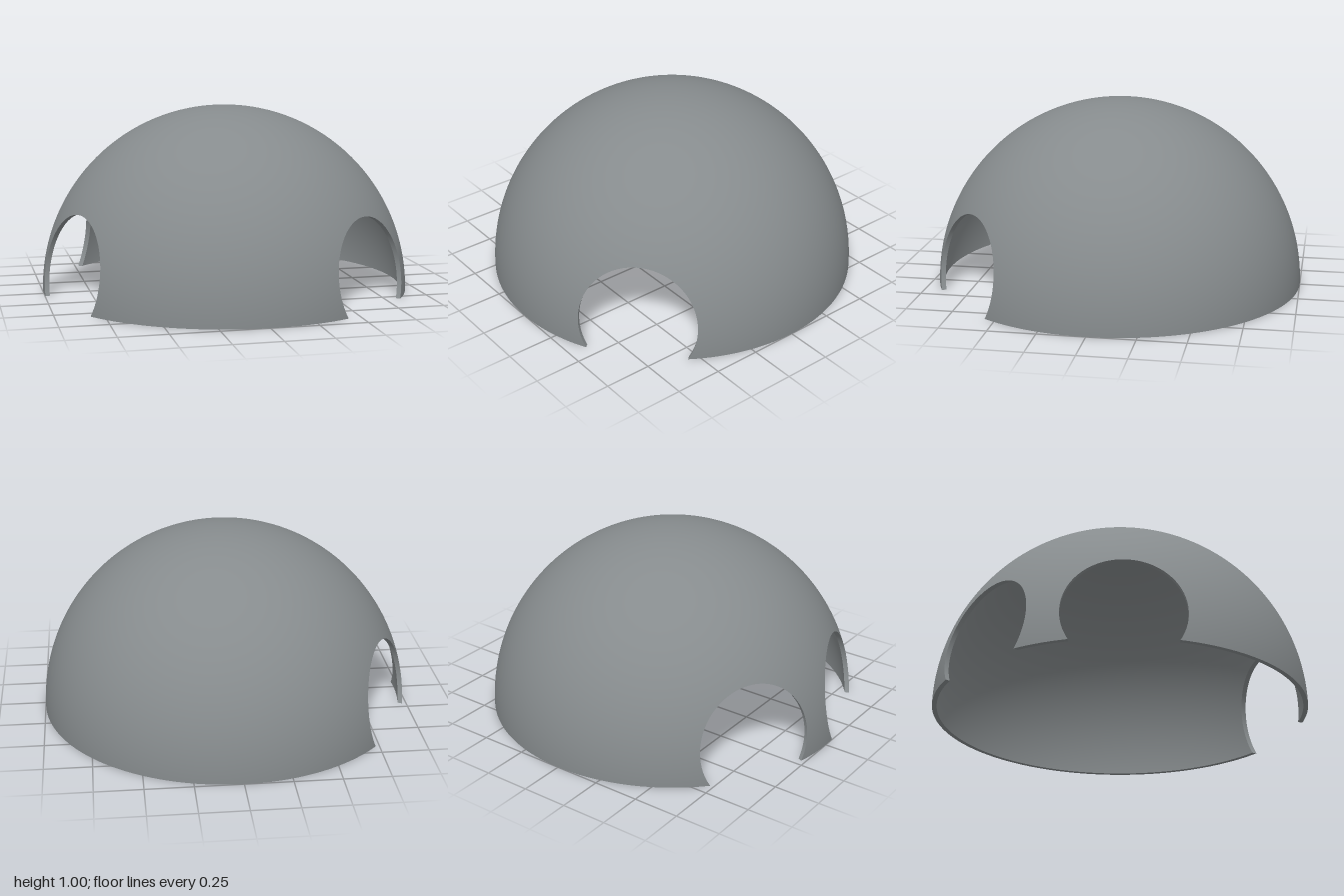
import * as THREE from 'three';
import { mergeGeometries } from 'three/addons/utils/BufferGeometryUtils.js';

const RAD = Math.PI / 180;
const OUTER = 1, INNER = 0.975;            // shell radii
const HOLE_R = 0.31, HOLE_Y = 0.16;        // horizontal round ports cut through the wall
const HALF = 22 * RAD, BAND = 35 * RAD;    // size of the wall panel around each port
const PORTS = [49.2, 160.6, 207.7].map(a => a * RAD);
const T0 = -Math.asin(HOLE_Y / HOLE_R), T1 = Math.PI - T0;
const lerp = THREE.MathUtils.lerp;

// point on a sphere from azimuth (from +x towards +z) and elevation
const onSphere = (R, az, el) => new THREE.Vector3(
  R * Math.cos(el) * Math.cos(az), R * Math.sin(el), R * Math.cos(el) * Math.sin(az));

// [azimuth, elevation] of the port edge on a sphere of radius R
function portEdge(R, t) {
  const w = HOLE_R * Math.cos(t), y = Math.max(0, HOLE_Y + HOLE_R * Math.sin(t));
  return [Math.atan2(w, Math.sqrt(R * R - w * w - y * y)), Math.asin(y / R)];
}

// grid surface facing du x dv; sphere = 1 / -1 gives exact outward / inward normals
function surface(fn, nu, nv, sphere = 0, flip = false) {
  const pos = [], nor = [], idx = [];
  for (let j = 0; j <= nv; j++) for (let i = 0; i <= nu; i++) {
    const p = fn(i / nu, j / nv);
    pos.push(p.x, p.y, p.z);
    p.normalize().multiplyScalar(sphere);
    nor.push(p.x, p.y, p.z);
  }
  for (let j = 0; j < nv; j++) for (let i = 0; i < nu; i++) {
    const a = j * (nu + 1) + i, b = a + 1, c = a + nu + 1, d = c + 1;
    if (flip) idx.push(a, d, b, a, c, d);
    else idx.push(a, b, d, a, d, c);
  }
  const g = new THREE.BufferGeometry();
  g.setAttribute('position', new THREE.Float32BufferAttribute(pos, 3));
  g.setAttribute('normal', new THREE.Float32BufferAttribute(nor, 3));
  g.setIndex(idx);
  if (!sphere) g.computeVertexNormals();
  return g;
}

// panel outline: up the +side, across the top, down the -side
const SIDE = 24, TOP = 32, LOOP = SIDE * 2 + TOP;
function panelEdge(u) {
  const k = Math.round(u * LOOP);
  if (k <= SIDE) return [HALF, BAND * k / SIDE];
  if (k <= SIDE + TOP) return [lerp(HALF, -HALF, (k - SIDE) / TOP), BAND];
  return [-HALF, BAND * (LOOP - k) / SIDE];
}

export function createModel() {
  const group = new THREE.Group();
  group.name = 'dome';
  const grey = new THREE.MeshStandardMaterial({ color: 0x868b8d });
  grey.name = 'grey';
  const add = (name, parts) => {
    const mesh = new THREE.Mesh(mergeGeometries(parts), grey);
    mesh.name = name;
    group.add(mesh);
  };

  // azimuth spans: port panels and the plain wall between them
  const spans = [];
  PORTS.forEach((c, i) => {
    const next = i < 2 ? PORTS[i + 1] : PORTS[0] + 2 * Math.PI;
    spans.push({ a: c - HALF, b: c + HALF, n: TOP, port: c });
    const a = c + HALF, b = next - HALF;
    spans.push({ a, b, n: Math.max(2, Math.round((b - a) / RAD / 1.5)) });
  });

  // outer and inner skins
  for (const [name, R, s] of [['outerShell', OUTER, 1], ['innerShell', INNER, -1]]) {
    const parts = [];
    for (const { a, b, n, port } of spans) {
      parts.push(surface((u, v) => onSphere(R, lerp(a, b, u), lerp(BAND, Math.PI / 2, v)), n, 32, s, s > 0));
      if (port === undefined) {
        parts.push(surface((u, v) => onSphere(R, lerp(a, b, u), BAND * v), n, SIDE, s, s > 0));
      } else {
        parts.push(surface((u, v) => {
          const e = panelEdge(u), h = portEdge(R, lerp(T0, T1, u));
          return onSphere(R, port + lerp(e[0], h[0], v), lerp(e[1], h[1], v));
        }, LOOP, 10, s, s > 0));
      }
    }
    add(name, parts);
  }

  // flat underside of the wall
  const base = [];
  for (const { a, b, n, port } of spans) {
    if (port === undefined) {
      base.push(surface((u, v) => onSphere(lerp(OUTER, INNER, v), lerp(a, b, u), 0), n, 1));
    } else {
      for (const side of [1, -1]) base.push(surface((u, v) => {
        const R = lerp(OUTER, INNER, v);
        return onSphere(R, port + side * lerp(portEdge(R, T0)[0], HALF, u), 0);
      }, 10, 1, 0, side < 0));
    }
  }
  add('baseRim', base);

  // wall thickness inside each port
  add('portRims', PORTS.map(c => surface((u, v) => {
    const R = lerp(INNER, OUTER, v), [az, el] = portEdge(R, lerp(T0, T1, u));
    return onSphere(R, c + az, el);
  }, LOOP, 1)));

  return group;
}
